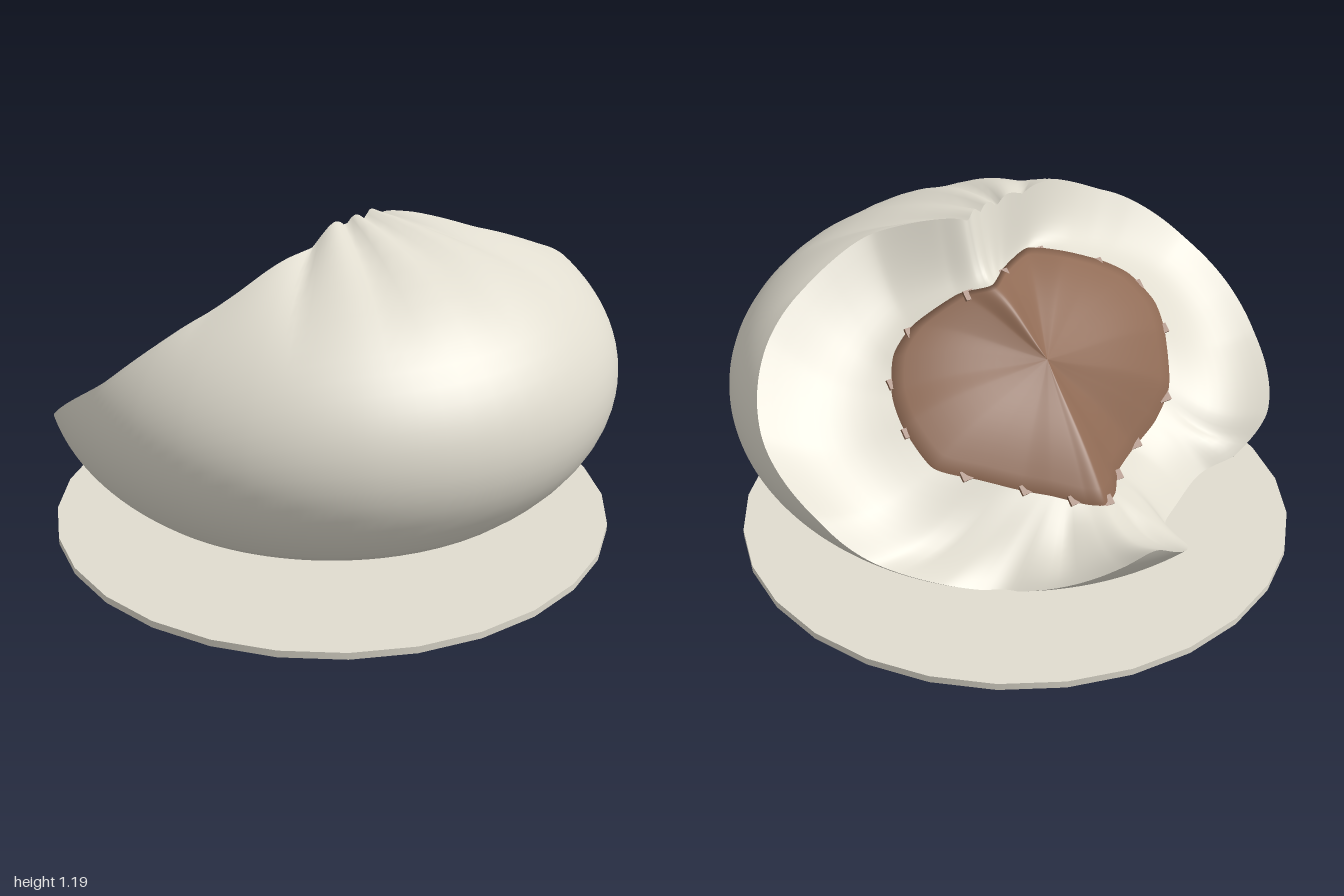
import * as THREE from 'three';

const { lerp, clamp, mapLinear, smoothstep } = THREE.MathUtils;
const V = (x, y, z) => new THREE.Vector3(x, y, z);
const CORNER = -0.66; // profile parameter where the round side meets the conical base

// Bun profile: an ellipse above the corner, a shallow cone below it
function profile(a) {
  if (a >= CORNER) return [Math.cos(a), 0.6 + 0.595 * Math.sin(a)];
  const r = 0.79 + (a - CORNER);
  return [r, 0.235 - 0.3 * (0.79 - r)];
}
function profileParam(x, z) {
  const r = Math.min(1, Math.hypot(x, z));
  if (z >= 0) return Math.acos(r);
  return r > 0.79 ? -Math.acos(r) : CORNER - (0.79 - r);
}

// Matching outlines, from the front round by the left: rim x, z | filling x, y, z
const OUTLINE = [
  [0.09, 0.14, 0.1, 0.96, 0.0], [0.19, 0.19, 0.2, 0.93, 0.06],
  [0.38, 0.31, 0.36, 0.85, 0.09], [0.56, 0.31, 0.46, 0.78, 0.06],
  [0.84, 0.22, 0.52, 0.69, -0.02], [0.992, 0.01, 0.54, 0.62, -0.12],
  [0.95, -0.255, 0.51, 0.52, -0.25], [0.81, -0.37, 0.38, 0.47, -0.34],
  [0.65, -0.52, 0.27, 0.43, -0.42], [0.46, -0.63, 0.19, 0.41, -0.48],
  [0.235, -0.91, 0.1, 0.38, -0.55], [0.12, -0.96, 0.04, 0.37, -0.58],
  [-0.155, -0.785, -0.05, 0.35, -0.52], [-0.23, -0.58, -0.15, 0.34, -0.41],
  [-0.4, -0.48, -0.28, 0.34, -0.33], [-0.55, -0.435, -0.42, 0.38, -0.28],
  [-0.8, -0.46, -0.53, 0.46, -0.22], [-0.975, -0.18, -0.6, 0.6, -0.1],
  [-0.998, 0, -0.62, 0.68, -0.01], [-0.93, 0.2, -0.57, 0.77, 0.08],
  [-0.76, 0.31, -0.48, 0.83, 0.13], [-0.52, 0.34, -0.33, 0.9, 0.16],
  [-0.28, 0.29, -0.2, 0.93, 0.21], [-0.08, 0.19, -0.02, 0.95, 0.1],
];
const N = OUTLINE.length * 12;

// Skin a stack of closed rings
function loft(rings) {
  const pos = [], index = [];
  rings.forEach(ring => ring.forEach(p => pos.push(p.x, p.y, p.z)));
  for (let j = 0; j < rings.length - 1; j++) {
    for (let i = 0; i < N; i++) {
      const a = j * N + i, b = j * N + (i + 1) % N;
      index.push(a, b, b + N, a, b + N, a + N);
    }
  }
  const g = new THREE.BufferGeometry();
  g.setAttribute('position', new THREE.Float32BufferAttribute(pos, 3));
  g.setIndex(index);
  g.computeVertexNormals();
  return g;
}

// Closed curve with fairly tight corners
function sampleClosed(points) {
  const curve = new THREE.CatmullRomCurve3(points, true, 'catmullrom', 0.35);
  return Array.from({ length: N }, (_, i) => curve.getPoint(i / N));
}

// Point on the outer skin, with swirling pleats gathered near the crown
function skinPoint(theta, a) {
  const [r, y] = profile(a);
  const w = smoothstep(a, 0.5, 1.25);
  const fold = Math.abs(Math.sin(7 * theta + 0.9 * a + 0.6));
  return V(r * Math.sin(theta), y - 0.03 * w * (1 - fold), r * Math.cos(theta));
}

export function createModel() {
  const model = new THREE.Group();
  const dough = new THREE.MeshStandardMaterial({ color: 0xe0dccf, side: THREE.DoubleSide });
  dough.name = 'cream dough';
  const meat = new THREE.MeshStandardMaterial({ color: 0x8f6a54, side: THREE.DoubleSide });
  meat.name = 'brown filling';
  const add = (name, geometry, material) => {
    const mesh = new THREE.Mesh(geometry, material);
    mesh.name = name;
    model.add(mesh);
    return mesh;
  };

  // Round base sheet
  add('baseSheet', new THREE.CylinderGeometry(1, 1, 0.025, 28), dough).position.y = 0.0125;

  // The y of each rim sample holds its profile parameter
  const rimParams = sampleClosed(OUTLINE.map(([x, z]) => V(x, profileParam(x, z), z)));
  const skin = rimParams.map(p => ({ theta: Math.atan2(p.x, p.z), a: p.y }));
  const rim = skin.map(({ theta, a }) => skinPoint(theta, a));
  const fillEdge = sampleClosed(OUTLINE.map(([, , x, y, z]) => V(x, y, z)));

  // Outer skin, from the small foot up to the bitten rim
  const foot = CORNER - 0.69;
  const outer = [skin.map(() => V(0, 0.027, 0)), skin.map(s => skinPoint(s.theta, foot))];
  for (let j = 0; j <= 22; j++) {
    outer.push(skin.map(({ theta, a }) =>
      skinPoint(theta, lerp(Math.min(CORNER, a - 0.02), a, j / 22))));
  }
  add('bunSkin', loft(outer), dough);

  // Bitten dough between the rim and the filling: hollowed where the rim stands up
  const bite = [];
  for (let j = 0; j <= 10; j++) {
    const t = j / 10;
    bite.push(rim.map((p, i) => {
      const q = p.clone().lerp(fillEdge[i], t);
      q.y -= clamp(mapLinear(p.y, 0.2, 0.3, -0.02, 0.055), -0.02, 0.055) * Math.sin(Math.PI * t);
      return q;
    }));
  }
  add('bittenDough', loft(bite), dough);

  // Filling, a low mound that is steepest around its edge
  const centre = V(0.03, 0.765, -0.23);
  const mound = [fillEdge.map(p => p.clone().add(V(0, -0.03, 0)))];
  for (let j = 0; j <= 12; j++) {
    const t = j / 12;
    mound.push(fillEdge.map(p => {
      const q = p.clone().lerp(centre, t);
      q.y += 0.01 * (1 - t) + 0.035 * Math.sin(Math.PI * t) * (1 - t);
      return q;
    }));
  }
  add('filling', loft(mound), meat);

  // Thin crumbs tucked along the edge of the filling, tilted with the bite
  for (let i = 8; i < N; i += 18) {
    const crumb = add('fillingCrumb', new THREE.BoxGeometry(0.05, 0.01, 0.035), meat);
    crumb.position.copy(fillEdge[i]).lerp(centre, 0.02);
    crumb.rotation.x = -0.75;
  }
  return model;
}
